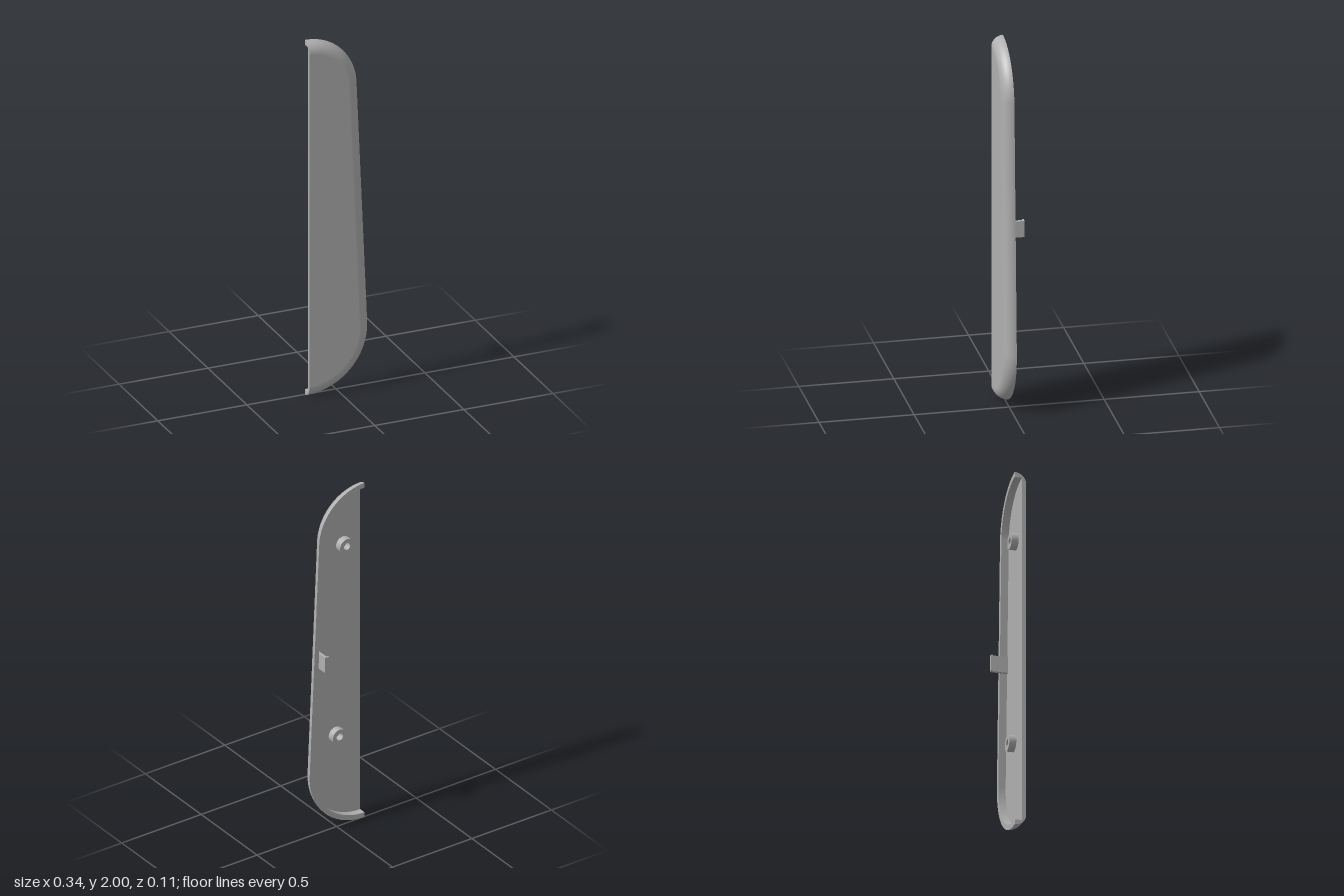
import * as THREE from 'three';
import { mergeGeometries } from 'three/addons/utils/BufferGeometryUtils.js';

const CUT = -0.173;              // x of the straight open edge
const BACK = -0.004, FRONT = 0.057, FLOOR = 0.035;
const ROUND = FRONT - BACK;      // radius of the rounded rim
const WALL = 0.028;              // rim thickness
const TOP = { y: 1.715, r: 0.285 }, BOTTOM = { y: 0.345, r: 0.345 };

// Outline from top to bottom: two arcs joined by their common tangent
function outline(inset, z) {
  const tilt = Math.asin((BOTTOM.r - TOP.r) / (TOP.y - BOTTOM.y));
  const points = [], n = 28;
  const arc = (c, from, to) => {
    for (let i = 0; i <= n; i++) {
      const a = from + (to - from) * i / n, r = c.r - inset;
      points.push(new THREE.Vector3(CUT + r * Math.cos(a), c.y + r * Math.sin(a), z));
    }
  };
  arc(TOP, Math.PI / 2, tilt);
  arc(BOTTOM, tilt, -Math.PI / 2);
  return points;
}

// Smooth surface through a list of outlines
function skin(rings) {
  const n = rings[0].length, index = [];
  for (let j = 0; j < rings.length - 1; j++) {
    for (let i = 0; i < n - 1; i++) {
      const a = j * n + i, b = a + n;
      index.push(a, a + 1, b, a + 1, b + 1, b);
    }
  }
  const g = new THREE.BufferGeometry().setFromPoints(rings.flat());
  g.setIndex(index);
  g.computeVertexNormals();
  return g;
}

const flat = pts => new THREE.ShapeGeometry(new THREE.Shape(pts.map(p => new THREE.Vector2(p[0], p[1]))));

export function createModel() {
  const model = new THREE.Group();
  const grey = new THREE.MeshStandardMaterial({ color: 0xb0b0b0 });
  grey.name = 'plastic grey';
  const add = (name, geometry, parent = model) => {
    const mesh = new THREE.Mesh(geometry, grey);
    mesh.name = name;
    parent.add(mesh);
    return mesh;
  };

  // Cover shell: front face and rounded edge, back lip, inner wall, floor
  const shell = new THREE.Group();
  shell.name = 'coverShell';
  model.add(shell);
  const section = [];            // rounded profile as [inset, z]
  for (let k = 0; k <= 12; k++) {
    const a = Math.PI / 2 * (1 - k / 12);
    section.push([ROUND * (1 - Math.cos(a)), BACK + ROUND * Math.sin(a)]);
  }
  add('frontFace', flat(outline(ROUND, 0).map(p => [p.x, p.y])).translate(0, 0, FRONT), shell);
  add('roundedEdge', skin(section.map(s => outline(...s))), shell);
  add('backLip', skin([outline(0, BACK), outline(WALL, BACK)]), shell);
  add('innerWall', skin([outline(WALL, BACK), outline(WALL, FLOOR)]), shell);
  add('innerFloor', flat(outline(WALL, 0).map(p => [-p.x, p.y])).rotateY(Math.PI).translate(0, 0, FLOOR), shell);

  // Cut face along the straight edge, showing the shell's C-shaped section
  const half = [...section, [WALL, BACK], [WALL, FLOOR]];
  const cut = [
    ...half.map(([d, z]) => [z, 2 - d]),
    ...half.map(([d, z]) => [z, d]).reverse(),
  ];
  add('cutFace', flat(cut).rotateY(-Math.PI / 2).translate(CUT, 0, 0), shell);

  // Hollow screw bosses on the floor
  const bossProfile = [[0.02, 0.002], [0.02, 0.037], [0.044, 0.037], [0.044, 0]];
  const bossParts = [];
  for (let i = 0; i < 3; i++) {
    const pair = [bossProfile[i + 1], bossProfile[i]].map(p => new THREE.Vector2(...p));
    bossParts.push(new THREE.LatheGeometry(pair, 32));
  }
  const boss = mergeGeometries(bossParts).rotateX(-Math.PI / 2);
  // Lathe walls run top-down, so turn them to face outwards
  orientOutward(boss);
  for (const [x, y, name] of [[-0.065, 1.655, 'upperBoss'], [-0.019, 0.53, 'lowerBoss']]) {
    add(name, boss, model).position.set(x, y, FLOOR);
  }

  // Snap clip: stem on the inner wall with a hook at its tip
  const clip = new THREE.Shape([[0.113, -FLOOR], [0.113, 0.058], [0.088, 0.058], [0.088, 0.048],
    [0.098, 0.048], [0.098, -FLOOR]].map(p => new THREE.Vector2(...p)));
  const clipGeometry = new THREE.ExtrudeGeometry(clip, { depth: 0.09, bevelEnabled: false });
  add('snapClip', clipGeometry.rotateX(-Math.PI / 2).translate(0, 0.985, 0));
  return model;
}

// Flip triangles of the boss so bore faces inwards, rim backwards, side outwards
function orientOutward(g) {
  const p = g.attributes.position, idx = g.index.array;
  const v = i => new THREE.Vector3().fromBufferAttribute(p, i);
  for (let t = 0; t < idx.length; t += 3) {
    const [a, b, c] = [v(idx[t]), v(idx[t + 1]), v(idx[t + 2])];
    const normal = b.clone().sub(a).cross(c.clone().sub(a));
    const mid = a.add(b).add(c).divideScalar(3), r = Math.hypot(mid.x, mid.y);
    const want = Math.abs(normal.z) > 1e-9 ? new THREE.Vector3(0, 0, -1)
      : new THREE.Vector3(mid.x, mid.y, 0).multiplyScalar(r < 0.03 ? -1 : 1);
    if (normal.dot(want) < 0) [idx[t + 1], idx[t + 2]] = [idx[t + 2], idx[t + 1]];
  }
  g.computeVertexNormals();
}
